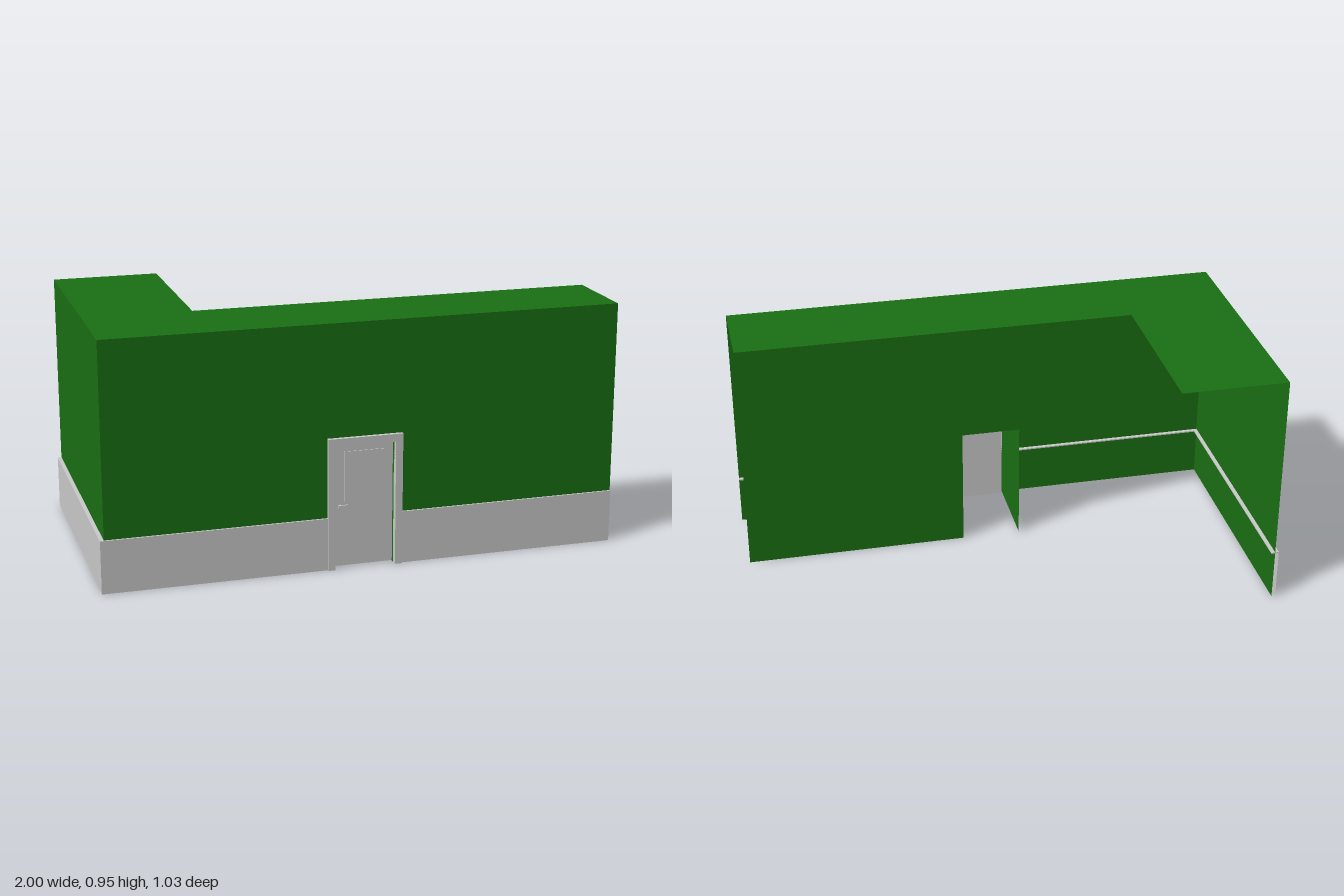
import * as THREE from 'three';

const GREEN = new THREE.MeshStandardMaterial({ color: 0x1a7014, side: THREE.DoubleSide });
const GREY = new THREE.MeshStandardMaterial({ color: 0xcccccc, side: THREE.DoubleSide });

const H = 0.95, FRONT = 0.5, BACK = 0.165, END = -0.515; // height and z lines
const SIDE = -0.985, INNER = -0.57;                      // x lines of the wing
const DOOR_W = 0.117, DOOR_H = 0.485, BASE_H = 0.205;

function polygon(points) {
  return new THREE.Shape(points.map(([x, y]) => new THREE.Vector2(x, y)));
}

export function createModel() {
  const model = new THREE.Group();

  const add = (parent, name, geometry, material, x = 0, y = 0, z = 0) => {
    const mesh = new THREE.Mesh(geometry, material);
    mesh.name = name;
    mesh.position.set(x, y, z);
    parent.add(mesh);
    return mesh;
  };
  // Box given by its lower and upper corner
  const box = (parent, name, material, a, b) => add(parent, name,
    new THREE.BoxGeometry(b[0] - a[0], b[1] - a[1], b[2] - a[2]), material,
    (a[0] + b[0]) / 2, (a[1] + b[1]) / 2, (a[2] + b[2]) / 2);
  // Thin upright sheet facing sideways, at a given x
  const sideSheet = (parent, name, material, x, z0, z1, h) => {
    const sheet = add(parent, name, new THREE.PlaneGeometry(z1 - z0, h), material, x, h / 2, (z0 + z1) / 2);
    sheet.rotation.y = -Math.PI / 2;
  };

  // Green shell: thin walls, open at both ends
  const shell = new THREE.Group();
  shell.name = 'shell';
  model.add(shell);
  add(shell, 'frontWall', new THREE.ShapeGeometry(polygon([
    [SIDE, 0], [-DOOR_W, 0], [-DOOR_W, DOOR_H], [DOOR_W, DOOR_H],
    [DOOR_W, 0], [1, 0], [1, H], [SIDE, H]])), GREEN, 0, 0, FRONT);
  add(shell, 'backWall', new THREE.ShapeGeometry(polygon([
    [DOOR_W, 0], [1, 0], [1, H], [INNER, H], [-DOOR_W, DOOR_H], [DOOR_W, DOOR_H]])), GREEN, 0, 0, BACK);
  sideSheet(shell, 'sideWall', GREEN, SIDE, END, FRONT, H);
  const roof = add(shell, 'roof', new THREE.ShapeGeometry(polygon([
    [SIDE, -FRONT], [1, -FRONT], [1, -BACK], [INNER, -BACK], [INNER, -END], [SIDE, -END]])), GREEN, 0, H, 0);
  roof.rotation.x = -Math.PI / 2;

  // Passage behind the door
  for (const s of [-1, 1]) sideSheet(shell, 'passageWall', GREEN, s * DOOR_W, BACK, FRONT, DOOR_H);
  const ceiling = add(shell, 'passageCeiling', new THREE.PlaneGeometry(2 * DOOR_W, FRONT - BACK),
    GREEN, 0, DOOR_H, (FRONT + BACK) / 2);
  ceiling.rotation.x = -Math.PI / 2;

  // Grey plinth: outer sheets capped by a narrow ledge that passes through the wall
  const plinth = new THREE.Group();
  plinth.name = 'plinth';
  model.add(plinth);
  const face = 0.507, capY = BASE_H - 0.005;
  for (const [x0, x1] of [[-1, -0.13], [0.13, 1]]) {
    add(plinth, 'frontPlinth', new THREE.PlaneGeometry(x1 - x0, BASE_H), GREY, (x0 + x1) / 2, BASE_H / 2, face);
    box(plinth, 'frontLedge', GREY, [x0, capY, 0.485], [x1, BASE_H, face]);
  }
  sideSheet(plinth, 'sidePlinth', GREY, -1, END, face, BASE_H);
  box(plinth, 'sideLedge', GREY, [-1, capY, END], [-0.97, BASE_H, 0.485]);

  // Door frame
  const entrance = new THREE.Group();
  entrance.name = 'entrance';
  model.add(entrance);
  add(entrance, 'doorFrame', new THREE.ExtrudeGeometry(polygon([
    [-0.145, 0], [-DOOR_W, 0], [-DOOR_W, DOOR_H], [DOOR_W, DOOR_H],
    [DOOR_W, 0], [0.145, 0], [0.145, 0.515], [-0.145, 0.515]]),
  { depth: 0.025, bevelEnabled: false }), GREY, 0, 0, 0.49);

  // Door leaf with a raised panel on both faces and a handle
  box(entrance, 'doorLeaf', GREY, [-0.111, 0.008, 0.475], [0.112, 0.48, 0.492]);
  box(entrance, 'doorPanel', GREY, [-0.078, 0.035, 0.472], [0.078, 0.457, 0.495]);
  box(entrance, 'handleStem', GREY, [-0.1, 0.24, 0.49], [-0.09, 0.25, 0.503]);
  box(entrance, 'handle', GREY, [-0.102, 0.239, 0.5], [-0.065, 0.251, 0.506]);

  return model;
}
